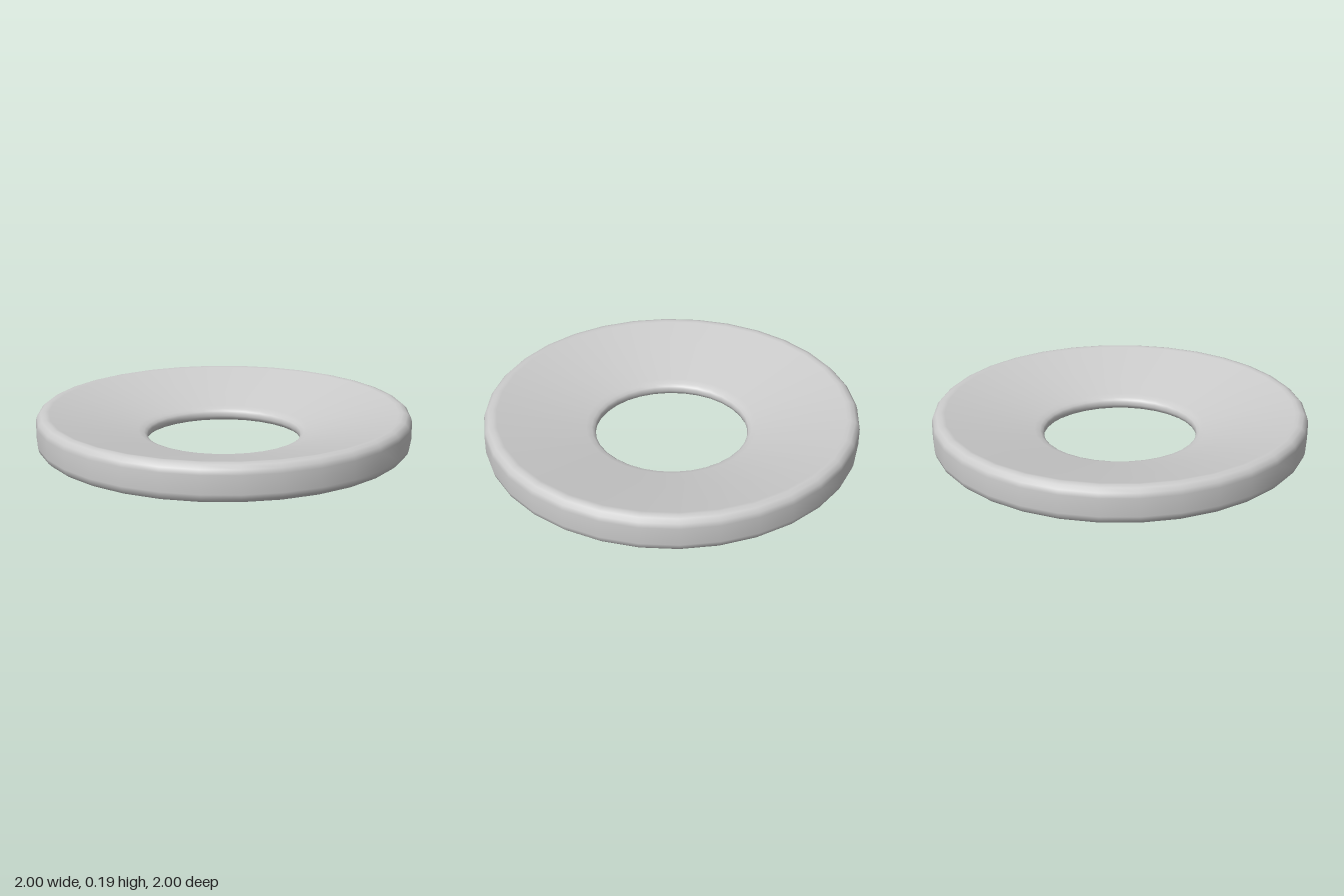
import * as THREE from 'three';

export function createModel() {
  const group = new THREE.Group();
  const material = new THREE.MeshStandardMaterial({ color: 0xcccccc });

  // Cross-section (radius, height): flat base, rounded rim, dished top, thin inner lip
  const profile = [
    [0.7, 0], [0.95, 0], [0.975, 0.007], [0.993, 0.025], [1, 0.05],
    [1, 0.145], [0.993, 0.17], [0.975, 0.188], [0.95, 0.195], [0.93, 0.191],
    [0.46, 0.078], [0.43, 0.068], [0.415, 0.057], [0.41, 0.045],
    [0.41, 0.03], [0.415, 0.015], [0.43, 0.004], [0.45, 0], [0.7, 0],
  ].map(([r, y]) => new THREE.Vector2(r, y));

  const ring = new THREE.Mesh(new THREE.LatheGeometry(profile, 32), material);
  ring.name = 'dishedRing';
  group.add(ring);
  return group;
}
